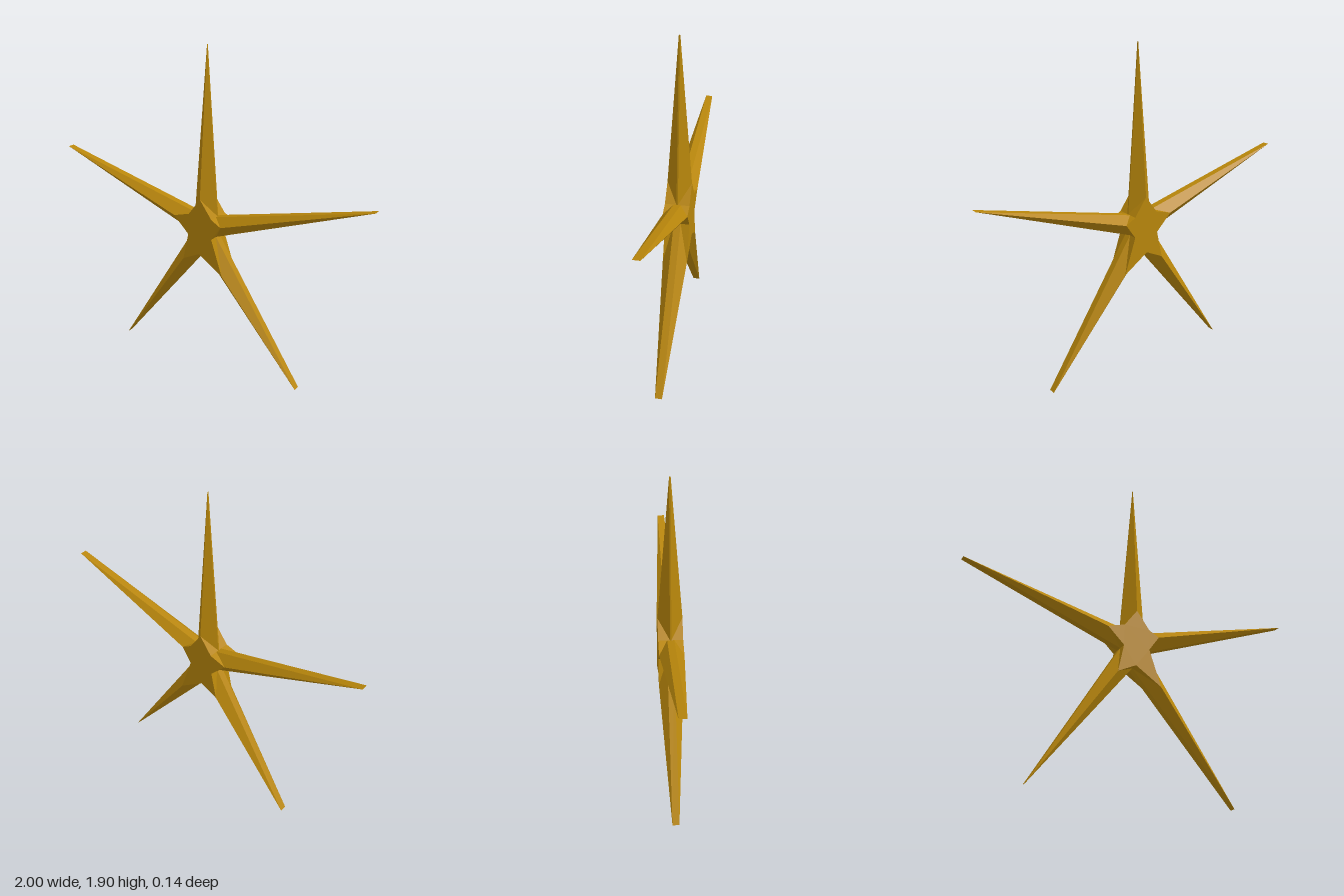
import * as THREE from 'three';

const HALF = 0.07; // half thickness of the central star

// Arms counter-clockwise from the top: tip, ridge start on the core, half thickness of the rim
const ARMS = [
  { name: 'topArm', tip: [0, 1.9], ridge: [-0.005, 1.05], rim: 0.004 },
  { name: 'upperRightArm', tip: [-1, 1.18], ridge: [-0.18, 0.92], rim: 0.02 },
  { name: 'lowerRightArm', tip: [-0.59, 0.01], ridge: [-0.12, 0.665], rim: 0.02 },
  { name: 'lowerLeftArm', tip: [0.605, 0], ridge: [0.14, 0.615], rim: 0.02 },
  { name: 'upperLeftArm', tip: [1, 1.17], ridge: [0.13, 0.91], rim: 0.02 },
];
// Notches between the arms; notch i comes just before arm i
const NOTCHES = [[0.07, 0.945], [-0.08, 0.95], [-0.085, 0.825], [-0.012, 0.717], [0.07, 0.825]];

// Tapering arm: a ridge on both faces and a narrow rim along each side
function armGeometry({ tip, ridge, rim }, before, after) {
  const at = (p, z) => [p[0], p[1], z];
  const pos = [];
  const tri = (...corners) => corners.forEach((c) => pos.push(...c));
  const quad = (a, b, c, d) => { tri(a, b, c); tri(a, c, d); };
  const [bf, bb] = [at(before, rim), at(before, -rim)];
  const [af, ab] = [at(after, rim), at(after, -rim)];
  const [tf, tb] = [at(tip, rim), at(tip, -rim)];
  const [rf, rb] = [at(ridge, HALF), at(ridge, -HALF)];
  tri(bf, tf, rf); // front slopes
  tri(rf, tf, af);
  tri(bb, rb, tb); // back slopes
  tri(rb, ab, tb);
  quad(bf, bb, tb, tf); // rims
  quad(af, tf, tb, ab);
  const geo = new THREE.BufferGeometry();
  geo.setAttribute('position', new THREE.Float32BufferAttribute(pos, 3));
  geo.computeVertexNormals();
  return geo;
}

export function createModel() {
  const group = new THREE.Group();
  group.name = 'star';
  const gold = new THREE.MeshStandardMaterial({ color: 0xb8860b, flatShading: true });
  const add = (name, geo) => {
    const mesh = new THREE.Mesh(geo, gold);
    mesh.name = name;
    group.add(mesh);
  };

  // Small flat star in the middle
  const outline = ARMS.flatMap((arm, i) => [NOTCHES[i], arm.ridge]);
  const shape = new THREE.Shape(outline.map(([x, y]) => new THREE.Vector2(x, y)));
  const core = new THREE.ExtrudeGeometry(shape, { depth: 2 * HALF, bevelEnabled: false });
  core.translate(0, 0, -HALF);
  add('core', core);

  // Five long pointed arms
  ARMS.forEach((arm, i) => add(arm.name, armGeometry(arm, NOTCHES[i], NOTCHES[(i + 1) % 5])));
  return group;
}
